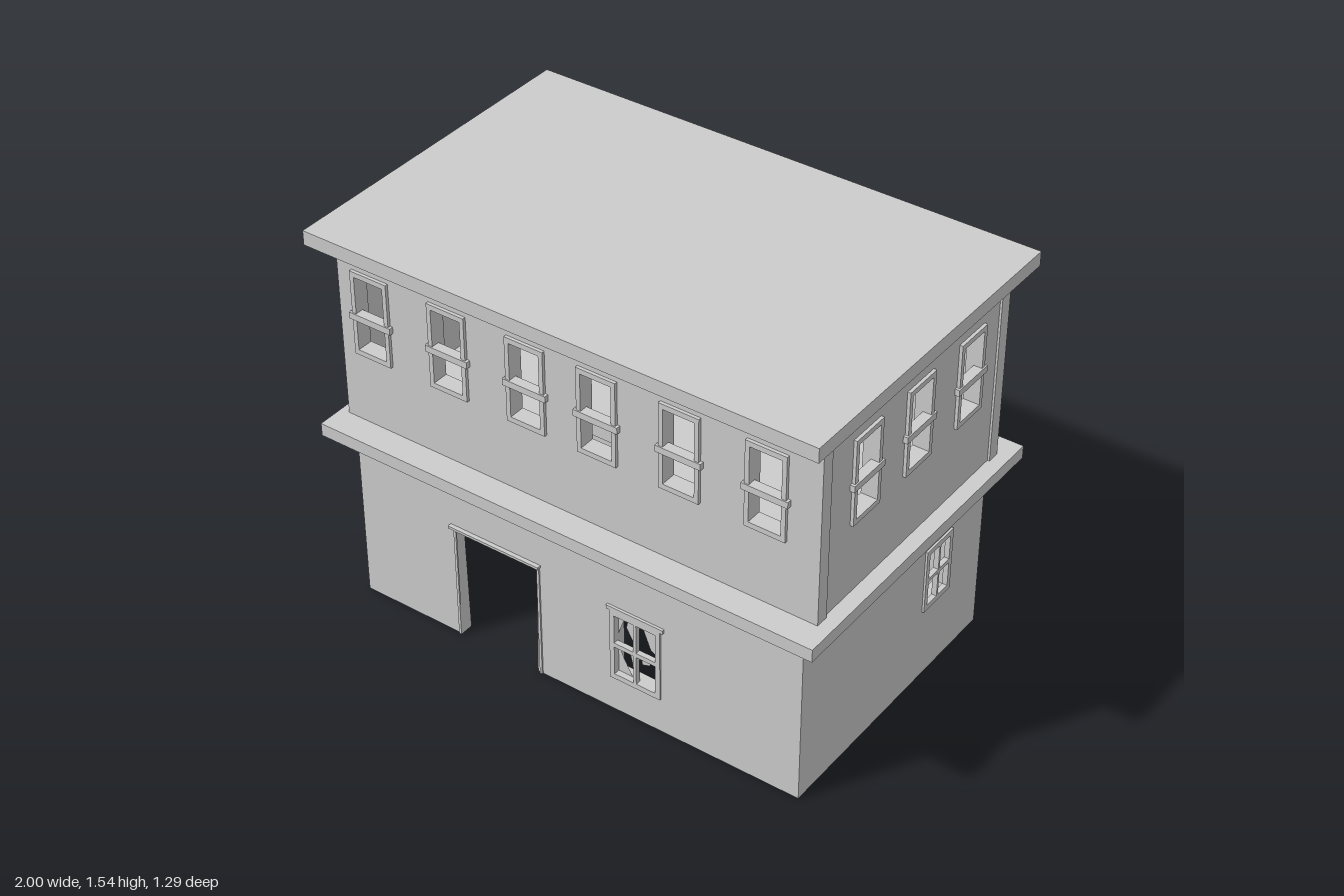
import * as THREE from 'three';

const mat = new THREE.MeshStandardMaterial({ color: 0xcccccc, flatShading: true });
const thinMat = new THREE.MeshStandardMaterial({ color: 0xcccccc, side: THREE.DoubleSide });
const T = 0.05; // wall thickness

function add(parent, name, geometry, x = 0, y = 0, z = 0, material = mat) {
  const mesh = new THREE.Mesh(geometry, material);
  mesh.name = name;
  mesh.position.set(x, y, z);
  parent.add(mesh);
  return mesh;
}

// Box given by its extents
function block(parent, name, x0, x1, y0, y1, z0, z1) {
  return add(parent, name, new THREE.BoxGeometry(x1 - x0, y1 - y0, z1 - z0),
    (x0 + x1) / 2, (y0 + y1) / 2, (z0 + z1) / 2);
}

const poly = (pts) => pts.map(([x, y]) => new THREE.Vector2(x, y));
const rect = (x0, x1, y0, y1) => [[x0, y0], [x1, y0], [x1, y1], [x0, y1]];

// Outline with holes, extruded towards local +z
function plate(outline, holes, depth) {
  const shape = new THREE.Shape(poly(outline));
  holes.forEach((h) => shape.holes.push(new THREE.Path(poly(h).reverse())));
  return new THREE.ExtrudeGeometry(shape, { depth, bevelEnabled: false });
}

// A facade faces local +z; turning it makes the other three sides
function facade(parent, name, angle, dist, outline, holes) {
  const g = new THREE.Group();
  g.name = name;
  g.rotation.y = angle;
  parent.add(g);
  add(g, name + 'Wall', plate(outline, holes, T), 0, 0, dist - T);
  return g;
}

// Upper sash window: frame and a projecting middle rail
const sashHole = (u) => rect(u - 0.06, u + 0.06, 1.06, 1.35);
function sashWindow(g, u, dist) {
  add(g, 'windowFrame', plate(rect(u - 0.077, u + 0.077, 1.04, 1.37), [sashHole(u)], 0.017),
    0, 0, dist - 0.005);
  block(g, 'windowRail', u - 0.087, u + 0.087, 1.18, 1.205, dist - 0.02, dist + 0.017);
}

// Lower four-pane window
const paneHole = (u, v) => rect(u - 0.07, u + 0.07, v - 0.115, v + 0.115);
function paneWindow(g, u, v, dist, w, h) {
  const panes = [];
  for (const sx of [-1, 1]) for (const sy of [-1, 1]) {
    const px = u + sx * w * 0.53, py = v + sy * h * 0.53;
    panes.push(rect(px - w * 0.46, px + w * 0.46, py - h * 0.46, py + h * 0.46));
  }
  add(g, 'paneFrame', plate(rect(u - w - 0.018, u + w + 0.018, v - h - 0.02, v + h + 0.02), panes, 0.02),
    0, 0, dist - 0.012);
}

export function createModel() {
  const model = new THREE.Group();
  model.name = 'building';

  // Ground floor front, with door notch and window
  const lowerTop = 0.71;
  const front = facade(model, 'lowerFront', 0, 0.54, [
    [-0.93, 0], [-0.505, 0], [-0.515, 0.47], [-0.16, 0.47], [-0.17, 0],
    [0.905, 0], [0.905, lowerTop], [-0.93, lowerTop],
  ], [rect(0.165, 0.335, 0.165, 0.42)]);
  paneWindow(front, 0.25, 0.2925, 0.54, 0.085, 0.128);
  block(front, 'windowHead', 0.135, 0.365, 0.44, 0.455, 0.535, 0.55);
  block(front, 'doorLintel', -0.53, -0.145, 0.47, 0.48, 0.49, 0.556);
  // Thin trim down each side of the doorway
  for (const [a, b] of [[-0.505, -0.515], [-0.158, -0.148]]) {
    add(front, 'doorTrim', plate([[a, 0], [a + 0.0, 0.47], [b, 0.47], [b, 0]], [], 0.006), 0, 0, 0.54)
      .material = thinMat;
  }
  // Broken glass left in the front window
  const shards = [
    [[0.167, 0.42], [0.167, 0.33], [0.185, 0.38], [0.2, 0.42]],
    [[0.21, 0.42], [0.2, 0.37], [0.24, 0.3], [0.24, 0.42]],
    [[0.26, 0.42], [0.3, 0.32], [0.335, 0.3], [0.335, 0.42]],
    [[0.167, 0.285], [0.19, 0.23], [0.225, 0.166], [0.167, 0.166]],
    [[0.21, 0.285], [0.23, 0.2], [0.24, 0.18], [0.24, 0.285]],
    [[0.26, 0.285], [0.265, 0.24], [0.295, 0.25], [0.31, 0.285]],
  ];
  shards.forEach((s) => add(front, 'glassShard', new THREE.ShapeGeometry(new THREE.Shape(poly(s))),
    0, 0, 0.525, thinMat));

  // Ground floor sides and slightly recessed back
  for (const [name, s, dist] of [['lowerLeft', 1, 0.905], ['lowerRight', -1, 0.93]]) {
    const [u0, u1] = s > 0 ? [-0.49, 0.57] : [-0.57, 0.49];
    const u = 0.28 * s;
    const g = facade(model, name, s * Math.PI / 2, dist, rect(u0, u1, 0, lowerTop), [paneHole(u, 0.42)]);
    paneWindow(g, u, 0.42, dist, 0.065, 0.11);
  }
  block(model, 'lowerBackWall', -0.88, 0.855, 0, lowerTop, -0.56, -0.51);

  // Upper storey: long walls run full width, end walls sit between them
  const xs = [-0.825, -0.5, -0.18, 0.105, 0.425, 0.75];
  const zs = [0.28, -0.025, -0.335];
  const y0 = 0.76, y1 = 1.48;
  const upper = [
    ['upperFront', 0, 0.535, -0.965, 0.95, xs, 1.485],
    ['upperBack', Math.PI, 0.555, -0.95, 0.965, xs.map((x) => -x), 1.485],
    ['upperLeft', Math.PI / 2, 0.942, -0.485, 0.505, zs.map((z) => -z), y1],
    ['upperRight', -Math.PI / 2, 0.957, -0.505, 0.485, zs, y1],
  ];
  for (const [name, angle, dist, u0, u1, us, top] of upper) {
    const g = facade(model, name, angle, dist, rect(u0, u1, y0, top), us.map(sashHole));
    us.forEach((u) => sashWindow(g, u, dist));
  }

  // Middle floor with stairwell, and the flat roof
  const floor = add(model, 'middleFloor',
    plate(rect(-1, 1, -0.64, 0.645), [rect(-0.36, -0.05, -0.49, -0.1)], 0.05), 0, 0.71, 0);
  floor.rotation.x = -Math.PI / 2;
  block(model, 'roof', -1, 1, 1.485, 1.54, -0.645, 0.645);

  // Sloping stair slab below the stairwell
  add(model, 'stairSlab',
    plate([[-0.36, 0.475], [-0.04, 0.71], [-0.04, 0.74], [-0.36, 0.505]], [], 0.39), 0, 0, 0.1);
  return model;
}
